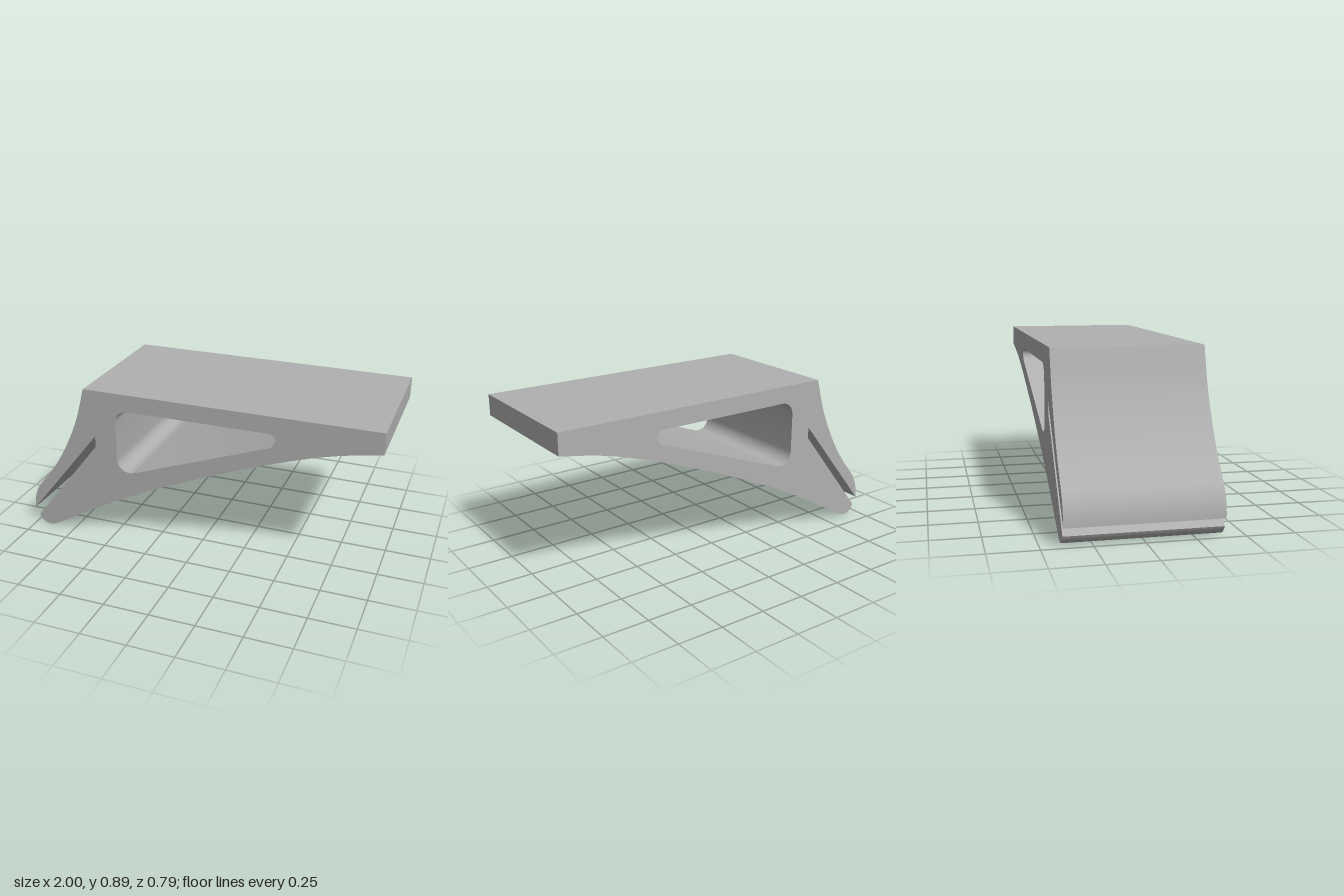
import * as THREE from 'three';
import { toCreasedNormals } from 'three/addons/utils/BufferGeometryUtils.js';

const DEPTH = 0.79;
const points = (list) => list.map(([x, y]) => new THREE.Vector2(x, y));

// Side profile of the bracket, including the slanted slot at its foot
function bracketProfile() {
  const s = new THREE.Shape();
  s.moveTo(-0.627, 0.893);
  // concave back edge and rounded upper lip
  s.splineThru(points([[-0.684, 0.7], [-0.765, 0.522], [-0.85, 0.383], [-0.936, 0.275]]));
  s.bezierCurveTo(-0.985, 0.22, -1, 0.16, -1, 0.095);
  // slot
  s.lineTo(-0.572, 0.623);
  s.lineTo(-0.572, 0.56);
  s.lineTo(-0.978, 0.05);
  // rounded toe
  s.bezierCurveTo(-0.96, 0.015, -0.935, 0, -0.91, 0);
  s.bezierCurveTo(-0.89, 0, -0.87, 0.008, -0.85, 0.02);
  // arched underside
  s.splineThru(points([[-0.55, 0.193], [-0.3, 0.322], [0, 0.457], [0.3, 0.578],
    [0.572, 0.676], [0.786, 0.737], [1, 0.777]]));
  s.lineTo(1, 0.893);
  s.closePath();
  return s;
}

// Rounded triangular opening
function opening() {
  const h = new THREE.Path();
  h.moveTo(-0.37, 0.797);
  h.lineTo(0.412, 0.797);
  h.bezierCurveTo(0.465, 0.795, 0.468, 0.735, 0.425, 0.719);
  h.lineTo(-0.345, 0.437);
  h.bezierCurveTo(-0.4, 0.419, -0.444, 0.455, -0.444, 0.505);
  h.lineTo(-0.444, 0.723);
  h.bezierCurveTo(-0.444, 0.764, -0.411, 0.797, -0.37, 0.797);
  return h;
}

export function createModel() {
  const group = new THREE.Group();
  group.name = 'bracket';
  const grey = new THREE.MeshStandardMaterial({ color: 0xb0b0b0 });
  grey.name = 'grey';

  const profile = bracketProfile();
  profile.holes.push(opening());
  const geometry = new THREE.ExtrudeGeometry(profile, {
    depth: DEPTH, bevelEnabled: false, curveSegments: 12,
  });
  geometry.translate(0, 0, -DEPTH / 2);

  const body = new THREE.Mesh(toCreasedNormals(geometry, 0.5), grey);
  body.name = 'bracketBody';
  group.add(body);
  return group;
}
